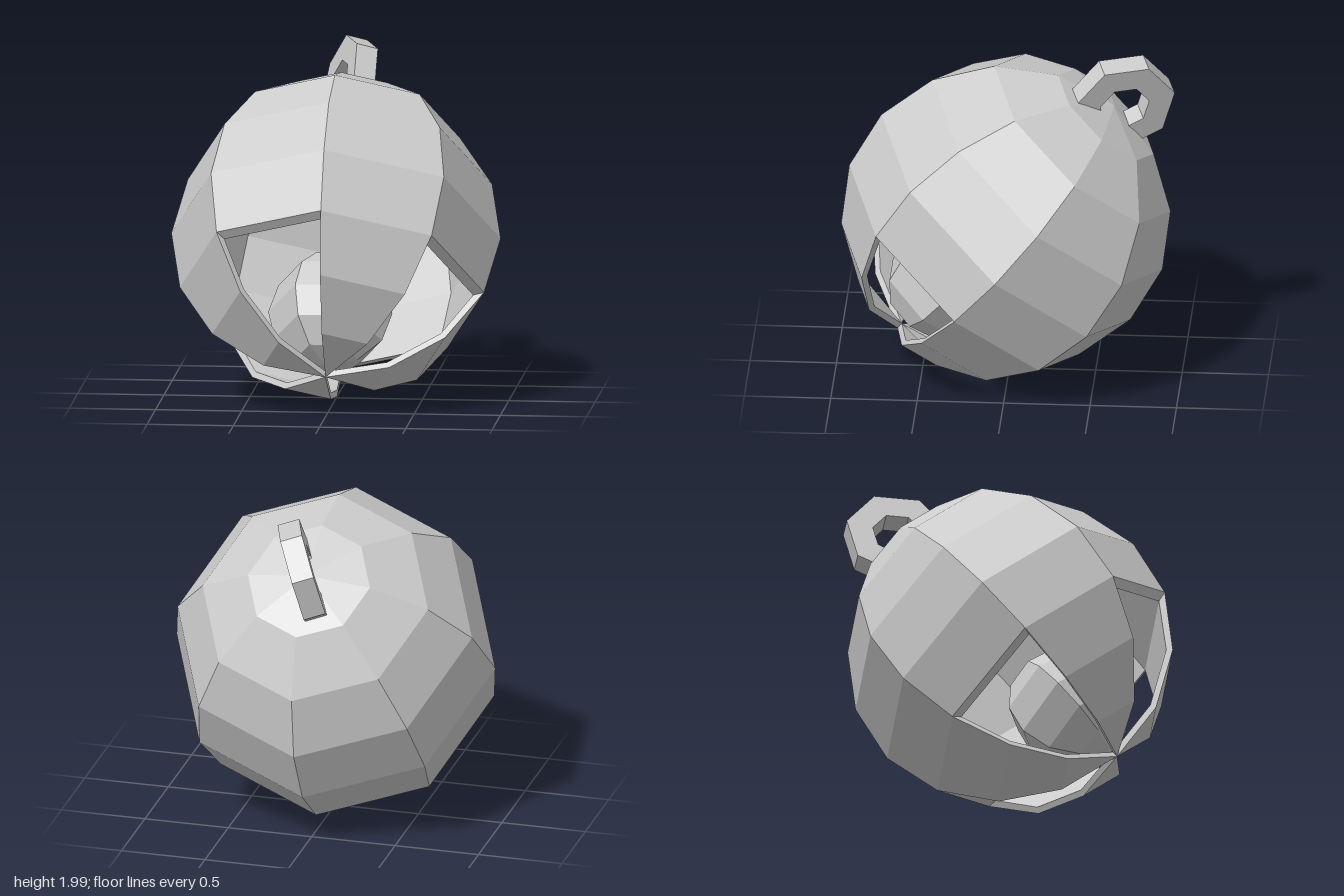
import * as THREE from 'three';

const R = 0.955, SIDES = 8, RINGS = 8, RIM = 5;
const deg = THREE.MathUtils.degToRad;
const material = new THREE.MeshStandardMaterial({ color: 0xcccccc, flatShading: true });

// Point on the shell for ring i and side j; the inner wall is slightly smaller
function shellPoint(i, j, inner) {
  const theta = (i / RINGS) * Math.PI, phi = (j / SIDES) * Math.PI * 2;
  const scale = inner ? (i < RIM ? 0.92 : 0.96) : 1;
  let r = Math.sin(theta) * R * scale, y = Math.cos(theta) * R * scale;
  if (inner && i === RIM) { r = 0.82; y = -0.385; }
  return [r * Math.sin(phi), y, r * Math.cos(phi)];
}

// Hollow shell: closed above the rim, every other panel cut away below it
function shellGeometry() {
  const pos = [];
  const quad = (a, b, c, d) => pos.push(...a, ...b, ...c, ...a, ...c, ...d);
  const out = (i, j) => shellPoint(i, j, false);
  const inn = (i, j) => shellPoint(i, j, true);
  for (let j = 0; j < SIDES; j++) {
    const solid = j % 2 === 0;
    const k = j + 1;
    for (let i = 0; i < RINGS; i++) {
      if (i >= RIM && !solid) continue;
      quad(out(i, j), out(i + 1, j), out(i + 1, k), out(i, k));
      quad(inn(i, k), inn(i + 1, k), inn(i + 1, j), inn(i, j));
      // side walls of the petals
      if (i >= RIM) {
        quad(out(i, j), inn(i, j), inn(i + 1, j), out(i + 1, j));
        quad(out(i + 1, k), inn(i + 1, k), inn(i, k), out(i, k));
      }
    }
    // upper edge of each slot
    if (!solid) quad(out(RIM, j), inn(RIM, j), inn(RIM, k), out(RIM, k));
  }
  const g = new THREE.BufferGeometry();
  g.setAttribute('position', new THREE.Float32BufferAttribute(pos, 3));
  g.computeVertexNormals();
  return g;
}

// Seven-sided loop with a square section, standing on the crown
function loopGeometry() {
  const inner = 0.15, outer = 0.305, w = 0.065;
  const profile = [[inner, -w], [outer, -w], [outer, w], [inner, w], [inner, -w]]
    .map(([x, y]) => new THREE.Vector2(x, y));
  const g = new THREE.LatheGeometry(profile, 7, deg(14));
  const b = deg(25);
  g.applyMatrix4(new THREE.Matrix4().makeBasis(
    new THREE.Vector3(Math.sin(b), 0, Math.cos(b)),
    new THREE.Vector3(Math.cos(b), 0, -Math.sin(b)),
    new THREE.Vector3(0, 1, 0)));
  return g;
}

export function createModel() {
  const model = new THREE.Group();
  model.name = 'jingleBell';

  // The bell leans back, so its slots face forward and down
  const bell = new THREE.Group();
  bell.name = 'tiltedBell';
  bell.position.set(0, 0.96, 0.02);
  bell.rotation.x = deg(-41);
  model.add(bell);

  const add = (name, geometry, x = 0, y = 0, z = 0) => {
    const mesh = new THREE.Mesh(geometry, material);
    mesh.name = name;
    mesh.position.set(x, y, z);
    bell.add(mesh);
  };
  add('shell', shellGeometry());
  add('clapperBall', new THREE.SphereGeometry(0.36, 6, 6), 0, -0.52, 0);
  add('hangingLoop', loopGeometry(), 0.01, 1.01, -0.01);
  return model;
}
